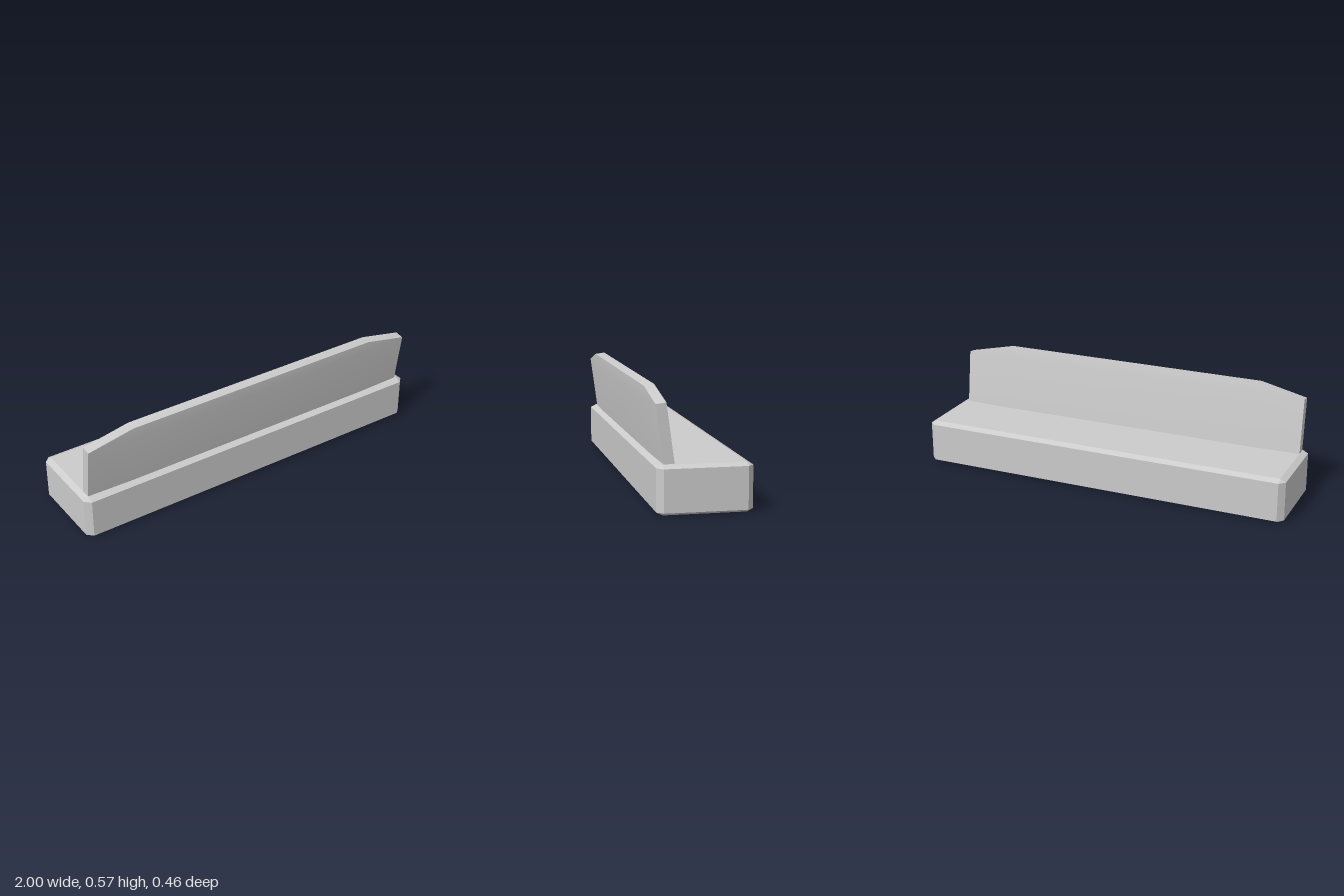
import * as THREE from 'three';
import { ConvexGeometry } from 'three/addons/geometries/ConvexGeometry.js';
import { toCreasedNormals } from 'three/addons/utils/BufferGeometryUtils.js';

const material = new THREE.MeshStandardMaterial({ color: 0xcccccc });

// Convex solid from its corners, smooth only across very shallow edges
function solid(name, corners) {
  const points = corners.map(c => new THREE.Vector3(...c));
  const mesh = new THREE.Mesh(toCreasedNormals(new ConvexGeometry(points), 0.4), material);
  mesh.name = name;
  return mesh;
}

// Box with every edge chamfered: each face is an inset rectangle
function chamferedBox(name, min, max, inset) {
  const corners = [];
  for (const sx of [0, 1]) for (const sy of [0, 1]) for (const sz of [0, 1]) {
    const side = [sx, sy, sz];
    const inner = side.map((s, i) => (s ? max[i] - inset[i] : min[i] + inset[i]));
    for (let axis = 0; axis < 3; axis++) {
      const corner = [...inner];
      corner[axis] = side[axis] ? max[axis] : min[axis];
      corners.push(corner);
    }
  }
  return solid(name, corners);
}

// Slightly pillowed panel with clipped upper corners, standing on local y = 0
function panel(name) {
  const full = 0.0322, thin = 0.025, bottom = -0.08, shoulder = 0.282, top = 0.336;
  const corners = [];
  for (const [outer, inner] of [[-0.97, -0.725], [0.96, 0.715]]) {
    for (const s of [-1, 1]) {
      corners.push(
        [outer, bottom, s * thin], [outer, shoulder, s * thin],
        [inner, bottom, s * full], [inner, shoulder - 0.004, s * full],
        [inner, top, s * thin]);
    }
  }
  return solid(name, corners);
}

export function createModel() {
  const group = new THREE.Group();
  group.name = 'benchWithBackrest';

  // Long block
  group.add(chamferedBox('base', [-1, 0, -0.23], [1, 0.234, 0.225], [0.03, 0.015, 0.029]));

  // Leaning panel, sunk into the block
  const back = panel('backPanel');
  back.position.set(0, 0.234, 0.1625);
  back.rotation.x = 0.135;
  group.add(back);

  return group;
}
